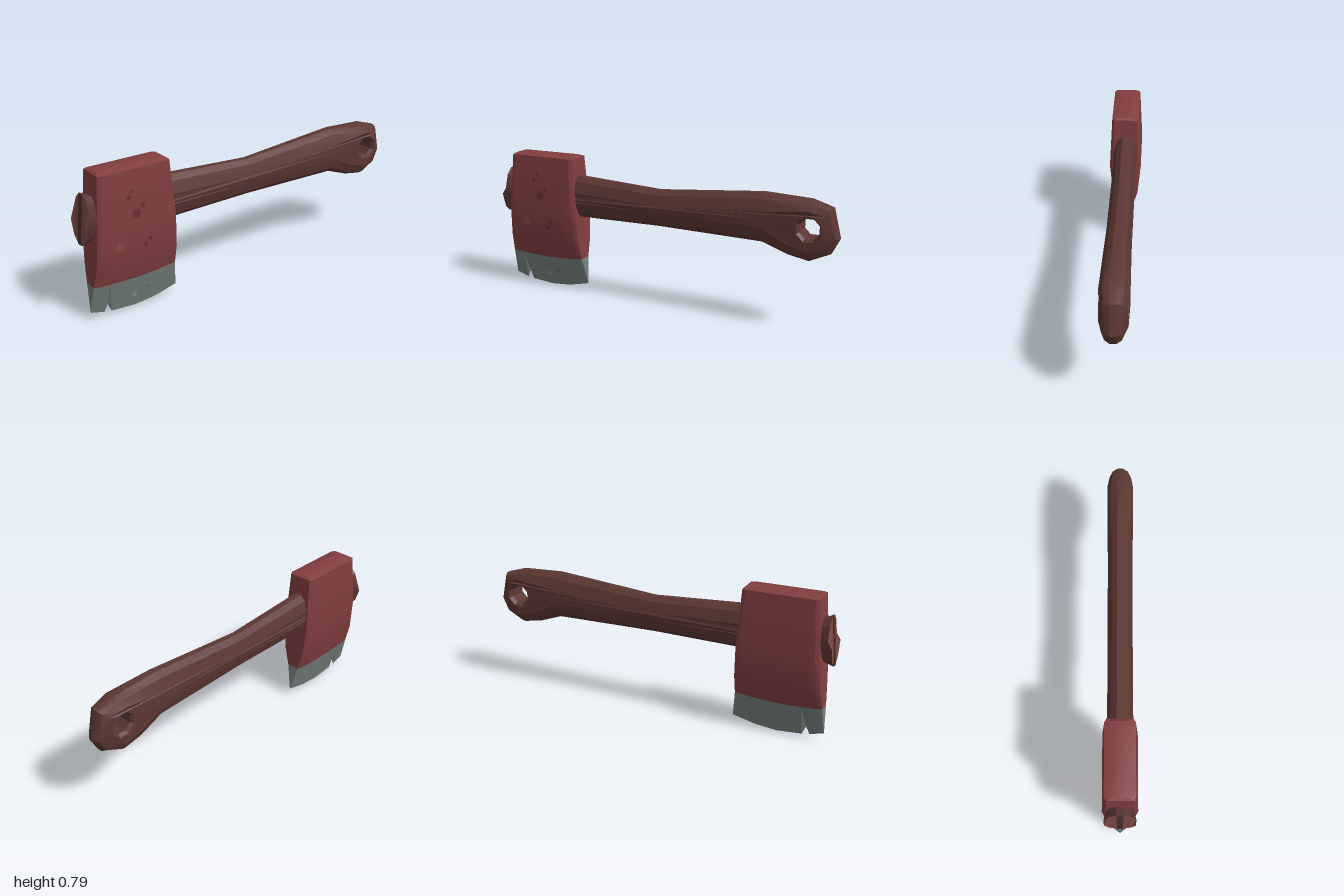
import * as THREE from 'three';
import { toCreasedNormals } from 'three/addons/utils/BufferGeometryUtils.js';

const V = (x, y, z) => new THREE.Vector3(x, y, z);

// Mesh from a list of triangle corners, with sharp edges kept
function makeMesh(name, tris, color, crease = 0.45) {
  const geo = new THREE.BufferGeometry().setFromPoints(tris);
  const mesh = new THREE.Mesh(toCreasedNormals(geo, crease), new THREE.MeshStandardMaterial({ color }));
  mesh.name = name;
  return mesh;
}

// Quads between successive rows of points
function loft(rows, closed = true) {
  const out = [];
  for (let r = 0; r + 1 < rows.length; r++) {
    const n = rows[r].length;
    for (let i = 0; i < (closed ? n : n - 1); i++) {
      const j = (i + 1) % n;
      const a = rows[r][i], b = rows[r][j], c = rows[r + 1][j], d = rows[r + 1][i];
      out.push(a, d, c, a, c, b);
    }
  }
  return out;
}

// Handle side outline: z, y, inward offset (z, y) of the side face, half width
const OUTLINE = [
  [0.975, 0.69, 0, -0.11, 0.08], [0.92, 0.665, 0, -0.09, 0.066], [0.5, 0.68, 0, -0.09, 0.068],
  [0, 0.65, 0, -0.08, 0.061], [-0.6, 0.7, 0, -0.09, 0.07], [-0.85, 0.688, 0, -0.05, 0.072],
  [-0.96, 0.655, 0.035, -0.035, 0.06], [-1, 0.5, 0.055, 0.01, 0.055], [-0.96, 0.42, 0.04, 0.04, 0.058],
  [-0.85, 0.37, 0, 0.06, 0.068], [-0.74, 0.39, 0, 0.07, 0.072], [-0.6, 0.44, 0, 0.09, 0.07],
  [0, 0.45, 0, 0.08, 0.061], [0.5, 0.445, 0, 0.09, 0.068], [0.92, 0.455, 0, 0.09, 0.066],
  [1, 0.43, 0, 0.11, 0.08],
];

function buildHandle(group) {
  // Layers across the width: fraction of half width, fraction of inset
  const layers = [[-1, 1], [-0.7, 0.3], [-0.25, 0], [0.25, 0], [0.7, 0.3], [1, 1]];
  const rows = layers.map(([s, f]) =>
    OUTLINE.map(([z, y, dz, dy, w]) => V(s * w, y + dy * f, z + dz * f)));
  const tris = loft(rows, false);

  // Hanging hole with a chamfered rim
  const holeRing = (x, r) => Array.from({ length: 8 }, (_, i) => {
    const a = (i + 0.5) * Math.PI / 4;
    return V(x, 0.545 + r * Math.sin(a), -0.855 - r * Math.cos(a));
  });
  const holeRows = [holeRing(-0.068, 0.07), holeRing(-0.05, 0.056), holeRing(0.05, 0.056), holeRing(0.068, 0.07)];
  tris.push(...loft(holeRows));

  // Side faces around the hole
  const flat = (p) => new THREE.Vector2(-p.z, p.y);
  for (const [ring, hole, side] of [[rows[5], holeRows[3], 1], [rows[0], holeRows[0], -1]]) {
    const all = [...ring, ...hole];
    for (const [a, b, c] of THREE.ShapeUtils.triangulateShape(ring.map(flat), [hole.map(flat)])) {
      const ccw = THREE.ShapeUtils.area([a, b, c].map((k) => flat(all[k]))) > 0;
      tris.push(all[a], ...(ccw === side > 0 ? [all[b], all[c]] : [all[c], all[b]]));
    }
  }
  group.add(makeMesh('handle', tris, 0x5c3732));

  // Flat end of the handle in front of the head
  const end = loft(rows.map((r) => [r[r.length - 1], r[0]]), false);
  group.add(makeMesh('handleEnd', end, 0x7c4a43));

  // Wedge driven into the handle end
  const wedge = new THREE.Mesh(new THREE.BoxGeometry(0.032, 0.26, 0.01),
    new THREE.MeshStandardMaterial({ color: 0x49312e }));
  wedge.name = 'wedge';
  wedge.position.set(0, 0.56, 0.986);
  wedge.rotation.x = -0.096;
  group.add(wedge);
}

// Head sections from blade to poll: y, half width, back z, front z
const HEAD = [
  [0.19, 0.042, 0.49, 0.965], [0.3, 0.075, 0.493, 0.955], [0.48, 0.092, 0.5, 0.945],
  [0.783, 0.077, 0.52, 0.92], [0.793, 0.045, 0.535, 0.905],
];
const COLUMNS = [0, 0.05, 0.26, 0.5, 0.77, 0.81, 0.85, 0.95, 1];
const EDGE_Y = [0.04, 0.034, 0.01, 0, 0.012, 0.06, 0.018, 0.034, 0.04];

// Closed ring: left side back to front, right side front to back
function headRing(width, back, front, yAt) {
  const side = (s) => COLUMNS.map((u, i) =>
    V(s * width * (u === 0 || u === 1 ? 0.86 : 1), yAt(u, i), back + (front - back) * u));
  return [...side(1), ...side(-1).reverse()];
}

function buildHead(group) {
  const rows = HEAD.map(([y, w, b, f], k) =>
    headRing(w, b, f, (u) => (k === 0 ? y + 0.004 - 0.014 * Math.sin(Math.PI * u) : y)));
  const edge = headRing(0, 0.47, 0.975, (u, i) => EDGE_Y[i]);
  const tris = loft(rows);
  const top = rows[rows.length - 1], mid = V(0, 0.794, 0.72);
  top.forEach((p, i) => tris.push(top[(i + 1) % top.length], p, mid));
  group.add(makeMesh('head', tris, 0x823e40));
  group.add(makeMesh('blade', loft([edge, rows[0]]), 0x747f7c));
}

// Small wear marks laid on the left cheek: z, y, radius, color
const MARKS = [
  [0.73, 0.555, 0.025, 0x662f31], [0.695, 0.59, 0.014, 0x662f31], [0.77, 0.645, 0.012, 0x662f31],
  [0.75, 0.675, 0.01, 0x662f31], [0.685, 0.375, 0.015, 0x662f31], [0.66, 0.4, 0.013, 0x662f31],
  [0.83, 0.395, 0.025, 0x8f4a48], [0.73, 0.07, 0.015, 0x8b9693], [0.66, 0.1, 0.009, 0x616b69],
];

function cheekX(y) {
  const pts = [[0, 0], [0.18, 0.042], ...HEAD.slice(1)];
  const k = Math.max(1, pts.findIndex((p) => p[0] >= y));
  const [y0, w0] = pts[k - 1], [y1, w1] = pts[k];
  return w0 + (w1 - w0) * (y - y0) / (y1 - y0) + 0.002;
}

function buildMarks(group) {
  const marks = new THREE.Group();
  marks.name = 'wearMarks';
  for (const [z, y, r, color] of MARKS) {
    const at = (a) => {
      const py = y + r * Math.sin(a);
      return V(cheekX(py), py, z - r * Math.cos(a));
    };
    const tris = [];
    for (let i = 0; i < 7; i++) {
      const a = i * Math.PI * 2 / 7, b = (i + 1) * Math.PI * 2 / 7;
      tris.push(V(cheekX(y), y, z), at(a), at(b));
    }
    marks.add(makeMesh('wearMark', tris, color));
  }
  group.add(marks);
}

export function createModel() {
  const group = new THREE.Group();
  group.name = 'hatchet';
  buildHandle(group);
  buildHead(group);
  buildMarks(group);
  return group;
}
